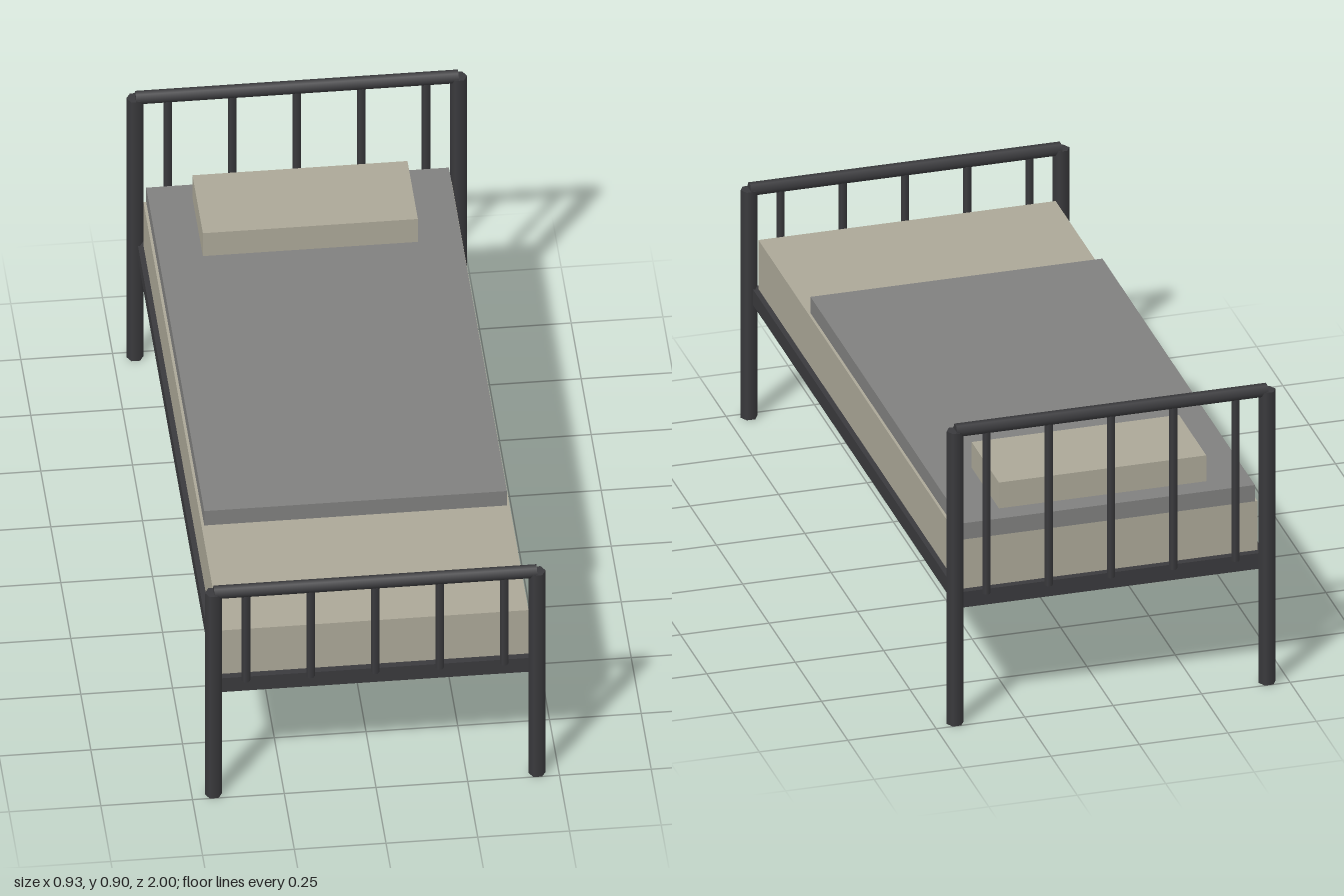
import * as THREE from 'three';

const metal = new THREE.MeshStandardMaterial({ color: 0x3a3a3d });
const cream = new THREE.MeshStandardMaterial({ color: 0xaca898 });
const wool = new THREE.MeshStandardMaterial({ color: 0x80807f });

function add(parent, name, geometry, material, x, y, z) {
  const mesh = new THREE.Mesh(geometry, material);
  mesh.name = name;
  mesh.position.set(x, y, z);
  parent.add(mesh);
  return mesh;
}

// Box given by its width, bottom and top height, and back and front depth
function slab(parent, name, material, width, y0, y1, z0, z1) {
  const geometry = new THREE.BoxGeometry(width, y1 - y0, z1 - z0);
  return add(parent, name, geometry, material, 0, (y0 + y1) / 2, (z0 + z1) / 2);
}

// Upright six-sided tube with its corners pointing sideways
function upright(parent, name, radius, x, y0, y1) {
  const geometry = new THREE.CylinderGeometry(radius, radius, y1 - y0, 6);
  geometry.rotateY(Math.PI / 2);
  return add(parent, name, geometry, metal, x, (y0 + y1) / 2, 0);
}

// Two posts, a top rail and five spindles
function endFrame(name, height, z) {
  const group = new THREE.Group();
  group.name = name;
  group.position.z = z;
  for (const side of [-1, 1]) upright(group, 'post', 0.0235, side * 0.441, 0, height);

  const rail = new THREE.CylinderGeometry(0.0187, 0.0187, 0.88, 6);
  rail.rotateZ(Math.PI / 2); // corners toward front and back, flat on top
  add(group, 'topRail', rail, metal, 0, height, 0);

  for (let i = -2; i <= 2; i++) upright(group, 'spindle', 0.0118, i * 0.176, 0.38, height);
  return group;
}

export function createModel() {
  const bed = new THREE.Group();
  bed.name = 'bed';

  bed.add(endFrame('headboard', 0.883, -0.98));
  bed.add(endFrame('footboard', 0.687, 0.98));

  // Base and bedding
  slab(bed, 'bedBase', metal, 0.87, 0.345, 0.392, -0.98, 0.98);
  slab(bed, 'mattress', cream, 0.84, 0.392, 0.54, -0.96, 0.96);
  slab(bed, 'blanket', wool, 0.825, 0.54, 0.589, -0.96, 0.49);
  slab(bed, 'pillow', cream, 0.586, 0.589, 0.667, -0.9, -0.64);

  return bed;
}
